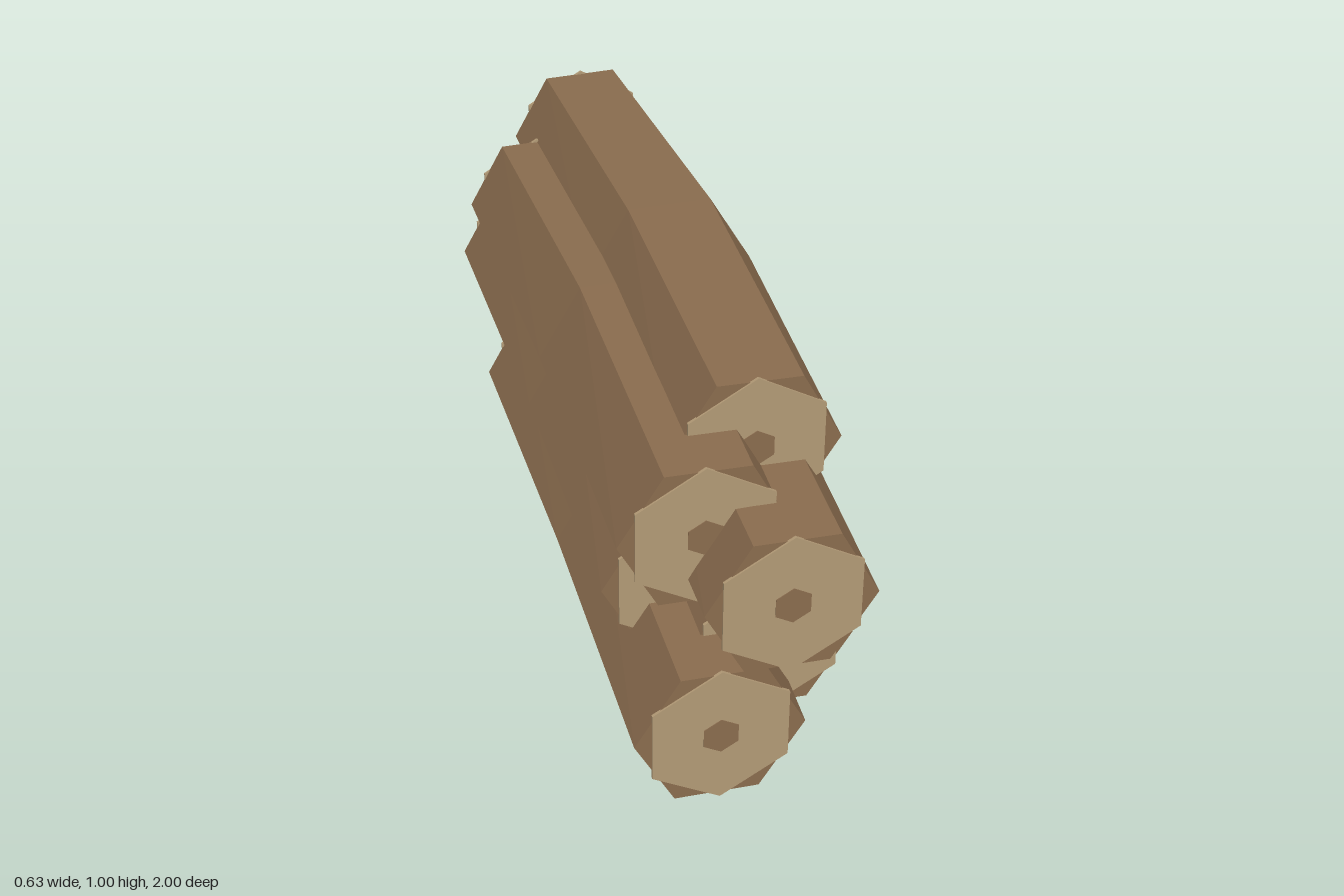
import * as THREE from 'three';

const HALF = 0.845; // half length of a log without its end discs

// Six-sided log: three rings (back, middle, front) with taper, bow and a slight twist
function logGeometry() {
  const rings = [
    { r: 0.198, dx: 0, twist: 0.015 },
    { r: 0.223, dx: 0.027, twist: 0 },
    { r: 0.214, dx: 0, twist: -0.035 },
  ];
  const g = new THREE.CylinderGeometry(1, 1, HALF * 2, 6, 2);
  g.rotateX(Math.PI / 2).rotateZ(Math.PI / 6);
  const p = g.attributes.position;
  for (let i = 0; i < p.count; i++) {
    const ring = rings[Math.round(p.getZ(i) / HALF) + 1];
    const x = p.getX(i), y = p.getY(i);
    const c = Math.cos(ring.twist) * ring.r, s = Math.sin(ring.twist) * ring.r;
    p.setXY(i, x * c - y * s + ring.dx, x * s + y * c);
  }
  g.computeVertexNormals();
  return g;
}

// Thin hexagonal plate facing along z, point upwards
function hexPlate(radius, thickness) {
  return new THREE.CylinderGeometry(radius, radius, thickness, 6).rotateX(Math.PI / 2);
}

export function createModel() {
  const model = new THREE.Group();
  model.name = 'logPile';

  const bark = new THREE.MeshStandardMaterial({ color: 0x8a6c4e, flatShading: true });
  bark.name = 'bark';
  const cutWood = new THREE.MeshStandardMaterial({ color: 0xb29a76, flatShading: true });
  cutWood.name = 'cutWood';

  const body = logGeometry();
  const ends = [
    { name: 'front', side: 1, disc: hexPlate(0.197, 0.008), core: hexPlate(0.05, 0.004) },
    { name: 'back', side: -1, disc: hexPlate(0.18, 0.008), core: hexPlate(0.045, 0.004) },
  ];

  const add = (parent, name, geometry, material, z = 0) => {
    const mesh = new THREE.Mesh(geometry, material);
    mesh.name = name;
    mesh.position.z = z;
    parent.add(mesh);
  };

  // Two staggered columns, from the bottom log to the top one: shift along z
  const shifts = [0.15, 0, -0.15, 0.15, 0, -0.15];
  shifts.forEach((z, i) => {
    const log = new THREE.Group();
    log.name = `log${i + 1}`;
    log.position.set(i % 2 ? 0.064 : -0.105, 0.198 + i * 0.121, z);
    add(log, 'trunk', body, bark);
    for (const e of ends) {
      add(log, `${e.name}CutFace`, e.disc, cutWood, e.side * (HALF + 0.001));
      add(log, `${e.name}Heartwood`, e.core, bark, e.side * (HALF + 0.005));
    }
    model.add(log);
  });

  return model;
}
